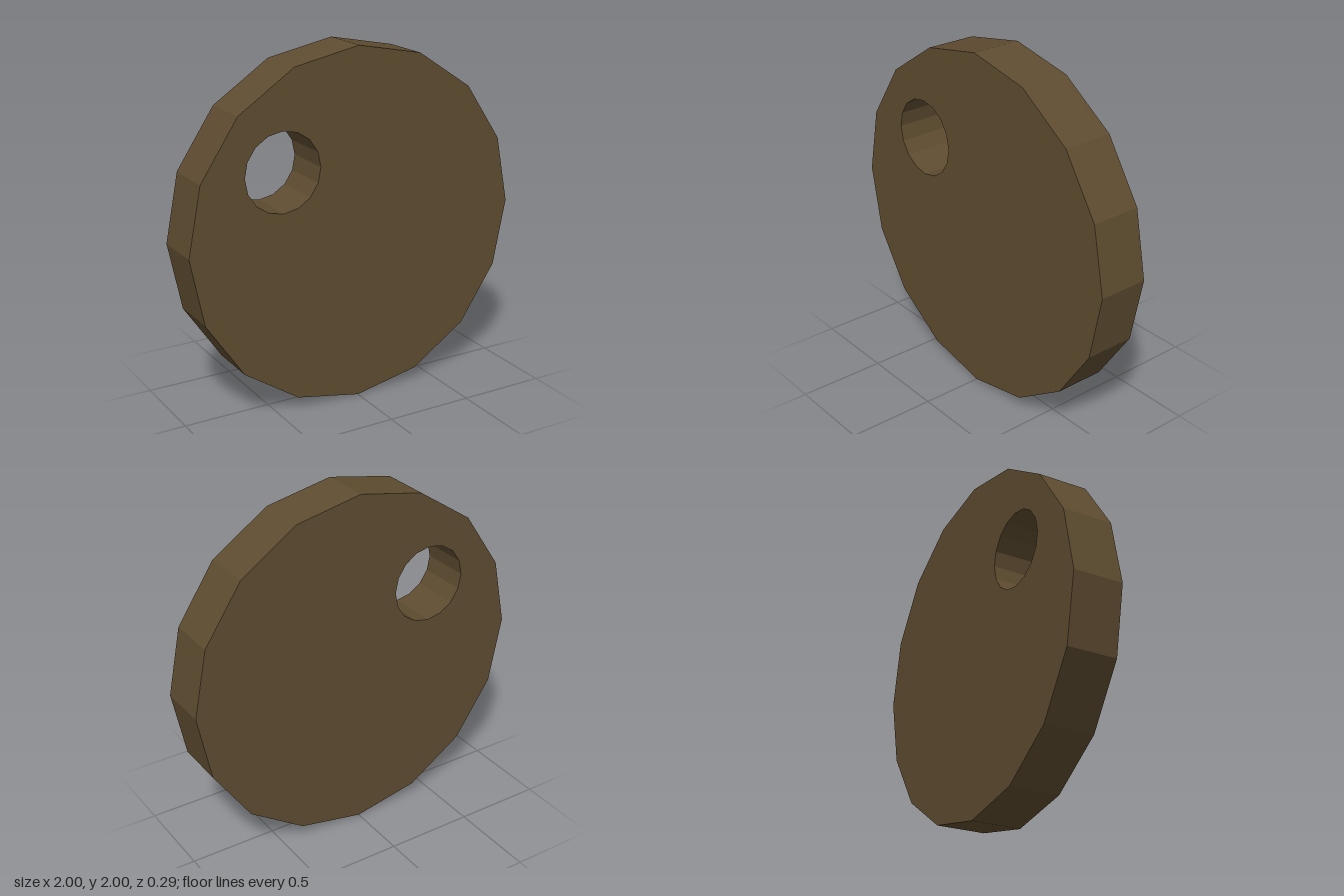
import * as THREE from 'three';

// Regular polygon with its first corner on +x
function polygon(cx, cy, radius, sides) {
  return Array.from({ length: sides }, (_, i) => {
    const a = (i / sides) * Math.PI * 2;
    return new THREE.Vector2(cx + radius * Math.cos(a), cy + radius * Math.sin(a));
  });
}

export function createModel() {
  const group = new THREE.Group();
  group.name = 'piercedDisc';

  const brown = new THREE.MeshStandardMaterial({ color: 0x5e4c30, flatShading: true });
  brown.name = 'darkBrown';

  // Sixteen-sided disc with an off-centre round hole through it
  const depth = 0.29;
  const outline = new THREE.Shape(polygon(0, 1, 1, 16));
  outline.holes.push(new THREE.Path(polygon(-0.454, 1.377, 0.222, 16)));
  const geometry = new THREE.ExtrudeGeometry(outline, { depth, bevelEnabled: false });
  geometry.translate(0, 0, -depth / 2);

  const disc = new THREE.Mesh(geometry, brown);
  disc.name = 'disc';
  group.add(disc);
  return group;
}
